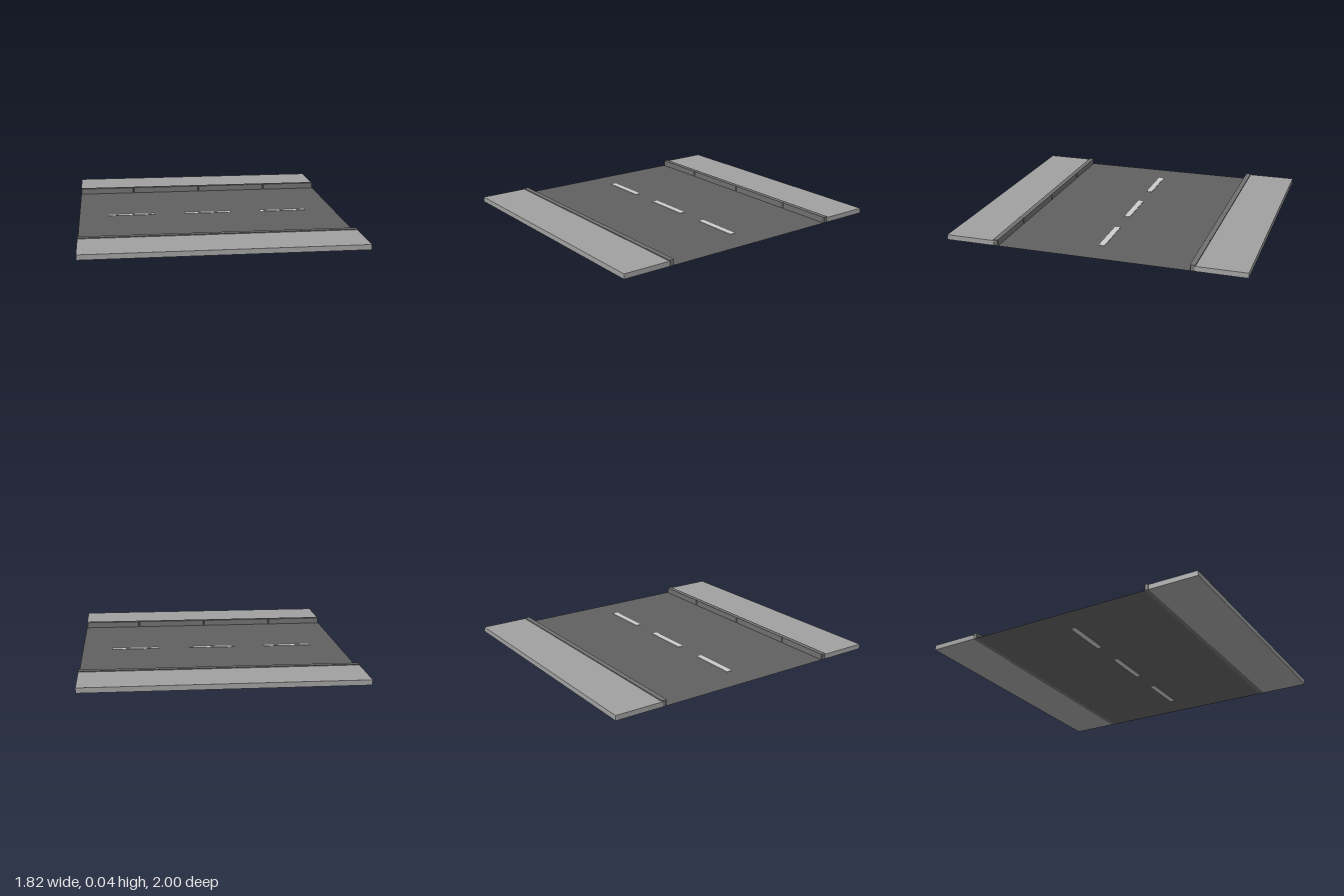
import * as THREE from 'three';

const HALF_X = 0.91;
const BASE = 0.005;

const paint = (color, extra = {}) => {
  const m = new THREE.MeshStandardMaterial({ flatShading: true, ...extra });
  m.color.set(color);
  return m;
};

function box(name, x0, x1, y0, y1, z0, z1, material) {
  const mesh = new THREE.Mesh(new THREE.BoxGeometry(x1 - x0, y1 - y0, z1 - z0), material);
  mesh.position.set((x0 + x1) / 2, (y0 + y1) / 2, (z0 + z1) / 2);
  mesh.name = name;
  return mesh;
}

// Kerb stone: a bar whose four upright corners are chamfered
function kerbGeometry(length, depth, height, c) {
  const a = length / 2, b = depth / 2;
  const shape = new THREE.Shape([
    [-a + c, -b], [a - c, -b], [a, -b + c], [a, b - c],
    [a - c, b], [-a + c, b], [-a, b - c], [-a, -b + c],
  ].map(([x, y]) => new THREE.Vector2(x, y)));
  return new THREE.ExtrudeGeometry(shape, { depth: height, bevelEnabled: false }).rotateX(-Math.PI / 2);
}

export function createModel() {
  const model = new THREE.Group();
  model.name = 'roadSection';
  const asphalt = paint(0x606060, { side: THREE.DoubleSide });
  const stone = paint(0x707070);
  const paving = paint(0xa0a0a0);
  const white = paint(0xffffff);

  // Road surface, a thin sheet
  const road = new THREE.Mesh(new THREE.PlaneGeometry(2 * HALF_X, 1.28).rotateX(-Math.PI / 2), asphalt);
  road.position.y = BASE;
  road.name = 'roadSurface';
  model.add(road);

  // Dashed centre line
  for (const x of [-0.545, 0, 0.54]) {
    model.add(box('laneDash', x - 0.165, x + 0.165, 0, 0.008, -0.019, 0.019, white));
  }

  // One pavement and kerb row, turned round for the other side
  for (const turn of [0, Math.PI]) {
    const side = new THREE.Group();
    side.name = turn ? 'backRoadside' : 'frontRoadside';
    side.rotation.y = turn;
    side.add(box('pavement', -HALF_X, HALF_X, BASE, 0.039, 0.668, 1, paving));
    const joints = [-HALF_X, -0.51, 0, 0.505, HALF_X];
    for (let i = 0; i < 4; i++) {
      const length = joints[i + 1] - joints[i];
      const kerb = new THREE.Mesh(kerbGeometry(length, 0.035, 0.04, 0.006), stone);
      kerb.position.set((joints[i] + joints[i + 1]) / 2, BASE, 0.6545);
      kerb.name = 'kerbStone';
      side.add(kerb);
    }
    model.add(side);
  }
  return model;
}
